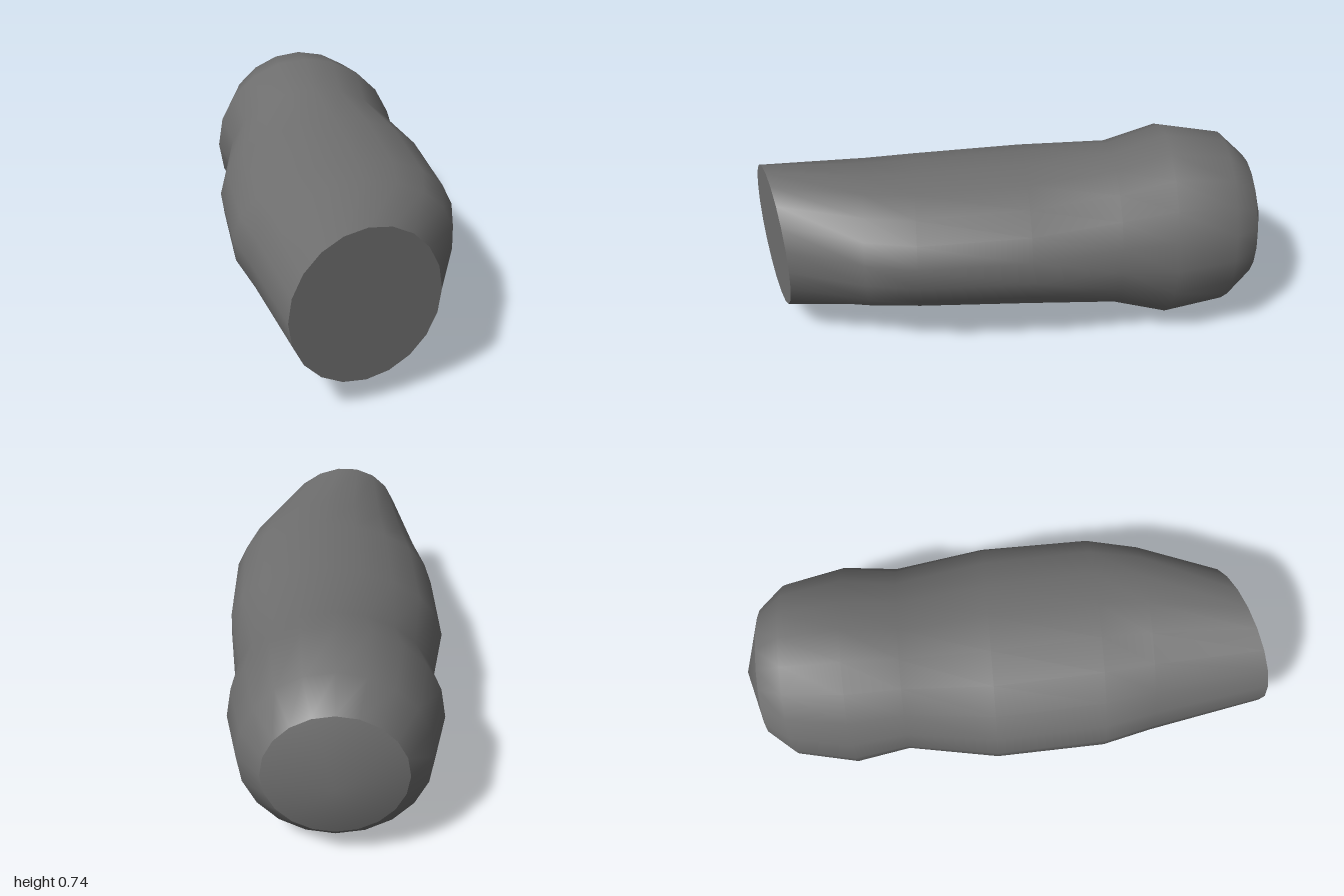
import * as THREE from 'three';

const SIDES = 20;
const CENTRE_Y = 0.37;

// Cross-sections front to back: z, x offset, half width, half height, sideways lean, end slant
const SECTIONS = [
  { z: 0.92, cx: -0.006, rx: 0.265, ry: 0.277, lean: 0, slant: 0.3 },
  { z: 0.555, cx: 0.006, rx: 0.36, ry: 0.277, lean: 0.2, slant: 0 },
  { z: 0.365, cx: 0.003, rx: 0.401, ry: 0.279, lean: 0.28, slant: 0 },
  { z: -0.05, cx: -0.005, rx: 0.409, ry: 0.289, lean: 0.2, slant: 0 },
  { z: -0.39, cx: 0.003, rx: 0.359, ry: 0.302, lean: 0, slant: 0 },
  { z: -0.595, cx: -0.006, rx: 0.382, ry: 0.369, lean: 0, slant: 0 },
  { z: -0.825, cx: -0.006, rx: 0.332, ry: 0.334, lean: 0, slant: 0 },
  { z: -0.925, cx: -0.006, rx: 0.247, ry: 0.238, lean: 0, slant: 0 },
];

// Points of one cross-section, counter-clockwise seen from the front; its left side leans most
function ring({ z, cx, rx, ry, lean, slant }) {
  const points = [];
  for (let j = 0; j < SIDES; j++) {
    const a = (j / SIDES) * Math.PI * 2;
    const y = ry * Math.sin(a);
    const x = cx + rx * Math.cos(a) + lean * y * (0.7 + 0.3 * Math.cos(a));
    points.push(x, CENTRE_Y + y, z - slant * x);
  }
  return points;
}

function makeMesh(name, positions, indices, material) {
  const geometry = new THREE.BufferGeometry();
  geometry.setAttribute('position', new THREE.Float32BufferAttribute(positions, 3));
  geometry.setIndex(indices);
  geometry.computeVertexNormals();
  const mesh = new THREE.Mesh(geometry, material);
  mesh.name = name;
  return mesh;
}

// Closes a section with a fan of triangles around a middle point
function makeCap(name, section, middle, facesFront, material) {
  const indices = [];
  for (let j = 0; j < SIDES; j++) {
    const k = (j + 1) % SIDES;
    indices.push(SIDES, facesFront ? j : k, facesFront ? k : j);
  }
  return makeMesh(name, [...ring(section), ...middle], indices, material);
}

export function createModel() {
  const group = new THREE.Group();
  group.name = 'roundEndedHandle';
  const material = new THREE.MeshStandardMaterial({ color: 0x6f6f6f });

  // Smooth skin through all sections
  const indices = [];
  for (let i = 0; i < SECTIONS.length - 1; i++) {
    for (let j = 0; j < SIDES; j++) {
      const k = (j + 1) % SIDES;
      const a = i * SIDES + j, b = i * SIDES + k;
      const c = a + SIDES, d = b + SIDES;
      indices.push(a, c, b, b, c, d);
    }
  }
  group.add(makeMesh('body', SECTIONS.flatMap(ring), indices, material));

  // Slanted flat front and shallow pointed back
  const front = SECTIONS[0];
  const frontMiddle = [front.cx, CENTRE_Y, front.z - front.slant * front.cx];
  group.add(makeCap('frontCap', front, frontMiddle, true, material));
  group.add(makeCap('backCap', SECTIONS.at(-1), [-0.006, CENTRE_Y, -1], false, material));

  return group;
}
